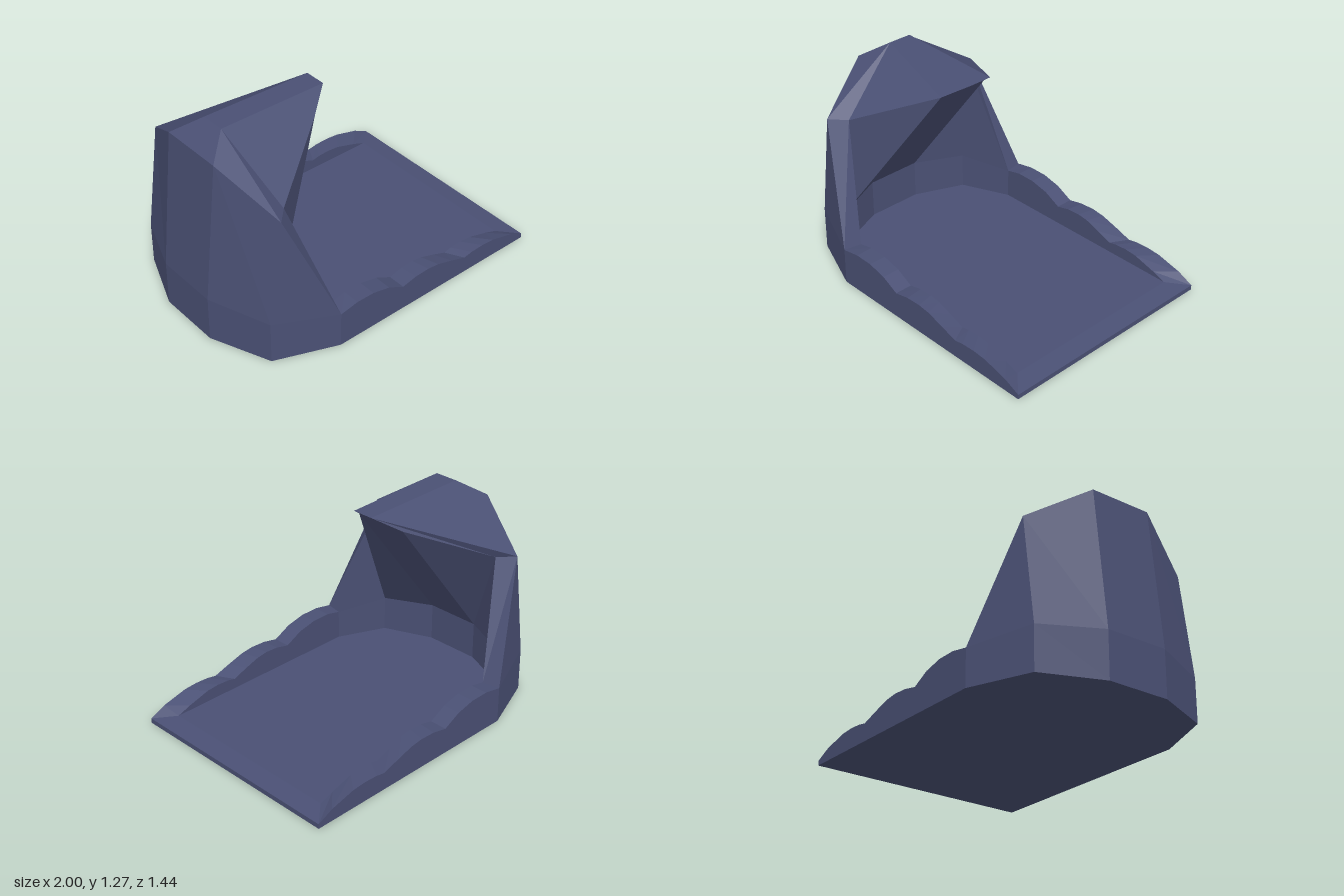
import * as THREE from 'three';

const material = new THREE.MeshStandardMaterial({ color: 0x4a5074, flatShading: true, side: THREE.DoubleSide });

// mirror image of a corner across the z = 0 plane
const m = ([x, y, z]) => [x, y, -z];

// collects flat polygons (counter-clockwise from outside) into one mesh
class Part {
  constructor(name) { this.name = name; this.pos = []; }
  face(...p) {
    for (let i = 1; i < p.length - 1; i++) this.pos.push(...p[0], ...p[i], ...p[i + 1]);
  }
  // polygon on the +z half plus its mirrored twin
  both(...p) {
    this.face(...p);
    this.face(...p.map(m).reverse());
  }
  // polygon that spans from an edge to its mirrored edge
  bridge(p, q) { this.face(p, q, m(q), m(p)); }
  mesh() {
    const g = new THREE.BufferGeometry();
    g.setAttribute('position', new THREE.Float32BufferAttribute(this.pos, 3));
    g.computeVertexNormals();
    const mesh = new THREE.Mesh(g, material);
    mesh.name = this.name;
    return mesh;
  }
}

export function createModel() {
  const group = new THREE.Group();
  group.name = 'hoodedTray';

  // footprint corners, back to front
  const a0 = [-1, 0, 0.2], b0 = [-0.85, 0, 0.57], c0 = [-0.47, 0, 0.72], d0 = [1, 0, 0.72];
  const d1 = [1, 0.03, 0.72];
  // outer shell: knee ring, shoulder ring, ridge
  const a1 = [-1, 0.29, 0.2], b1 = [-0.85, 0.27, 0.57], c1 = [-0.47, 0.23, 0.72];
  const a2 = [-0.91, 1.17, 0.2], b2 = [-0.76, 0.94, 0.57];
  const r1 = [-0.76, 1.27, 0.075], r2 = [-0.05, 1.255, 0.068];
  // inner shell
  const A = [-0.87, 0.285, 0.175], B = [-0.745, 0.27, 0.48], F = [-0.45, 0.23, 0.61];
  const C = [-0.67, 0.935, 0.48], D = [-0.2, 1.155, 0.175];
  // floor outline
  const fy = 0.045;
  const onFloor = ([x, , z]) => [x, fy, z];
  const Af = onFloor(A), Bf = onFloor(B), Ff = onFloor(F), Ef = [0.88, fy, 0.61];

  // floor slab with sloped front lip
  const base = new Part('base');
  base.face(Ff, Ef, m(Ef), m(Ff), m(Bf), m(Af), Af, Bf);
  base.bridge(Ef, d1);
  base.face(d0, m(d0), m(d1), d1);
  base.face(d0, c0, b0, a0, m(a0), m(b0), m(c0), m(d0));
  group.add(base.mesh());

  // scalloped side walls
  const crest = [
    [-0.47, 0.23], [-0.35, 0.252], [-0.23, 0.25], [-0.11, 0.222], [0, 0.165],
    [0.1, 0.186], [0.2, 0.19], [0.28, 0.18], [0.39, 0.147], [0.5, 0.11],
    [0.56, 0.121], [0.65, 0.125], [0.74, 0.118], [0.9, 0.077], [1, 0.03],
  ];
  const outer = crest.map(([x, y]) => [x, y, 0.72]);
  const inner = crest.map(([x, y]) => [x > 0 ? x * 0.88 : x, Math.max(y, fy), 0.61]);
  inner[0] = F;
  const walls = new Part('sideWalls');
  for (let i = 0; i < crest.length - 1; i++) {
    const [o, p, q, n] = [outer[i], outer[i + 1], inner[i + 1], inner[i]];
    walls.both([o[0], 0, 0.72], [p[0], 0, 0.72], p, o);
    walls.both(o, p, q, n);
    walls.both(n, q, onFloor(q), onFloor(n));
  }
  group.add(walls.mesh());

  // back shell, outside: skirt and leaning panels
  const back = new Part('backShell');
  back.both(c0, c1, b1, b0);
  back.both(b0, b1, a1, a0);
  back.bridge(a0, a1);
  back.both(c1, b2, b1);
  back.both(b1, b2, a2, a1);
  back.bridge(a1, a2);
  // front rim of the shell
  back.both(c1, F, C, b2);
  group.add(back.mesh());

  // overhanging roof
  const roof = new Part('roof');
  roof.both(r1, a2, b2, C, D, r2);
  roof.bridge(r1, r2);
  roof.bridge(a2, r1);
  roof.bridge(r2, D);
  group.add(roof.mesh());

  // inside of the hood: low upright wall, then the slanting underside
  const lining = new Part('hoodLining');
  lining.both(Ff, Bf, B, F);
  lining.both(Bf, Af, A, B);
  lining.face(Af, m(Af), m(A), A);
  lining.both(F, B, C);
  lining.face(A, m(A), m(D), D);
  // the twisted corner panels fold differently on each side
  lining.face(B, A, D);
  lining.face(B, D, C);
  lining.face(m(C), m(A), m(B));
  lining.face(m(C), m(D), m(A));
  group.add(lining.mesh());

  return group;
}
